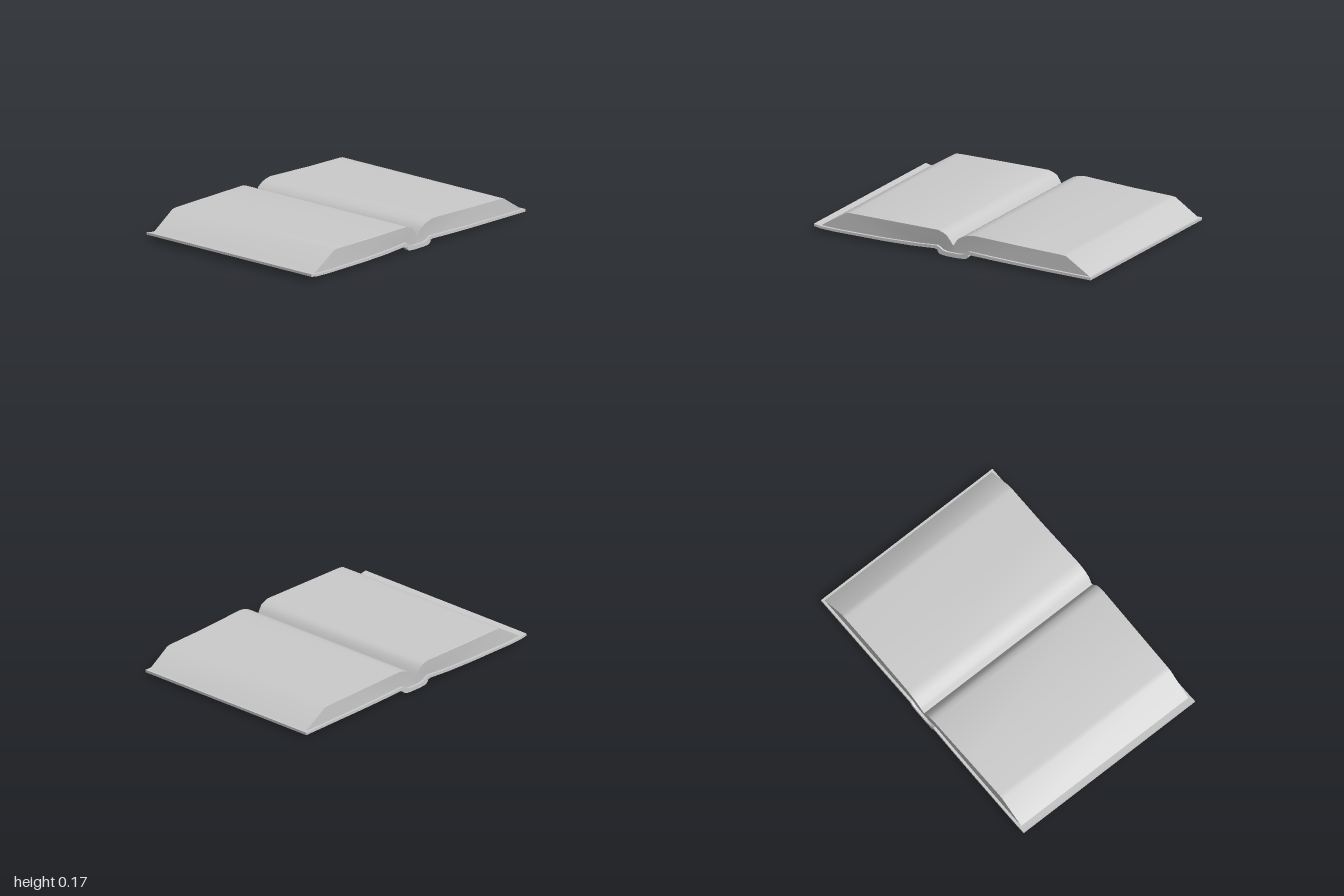
import * as THREE from 'three';
import { toCreasedNormals } from 'three/addons/utils/BufferGeometryUtils.js';

const material = new THREE.MeshStandardMaterial({ color: 0xcccccc, side: THREE.DoubleSide });

// Extrudes a closed [z, y] outline along x, centred on x
function sweep(name, outline, width, x = 0, reshape) {
  const shape = new THREE.Shape(outline.map(([z, y]) => new THREE.Vector2(z, y)));
  const geo = new THREE.ExtrudeGeometry(shape, { depth: width, bevelEnabled: false });
  geo.translate(0, 0, -width / 2).rotateY(-Math.PI / 2);
  if (reshape) {
    const p = geo.attributes.position;
    for (let i = 0; i < p.count; i++) p.setX(i, reshape(p.getX(i), p.getY(i), p.getZ(i)));
  }
  const mesh = new THREE.Mesh(toCreasedNormals(geo, 0.5), material);
  mesh.name = name;
  mesh.position.x = x;
  return mesh;
}

// Cover section: inside and outside faces, from the front edge to the back edge
const coverInside = [[1, 0.053], [0.95, 0.045], [0.85, 0.041], [0.5, 0.042], [0.25, 0.05], [0.11, 0.06],
  [0.095, 0.052], [0.07, 0.035], [0.03, 0.028], [-0.05, 0.028], [-0.085, 0.035], [-0.105, 0.05],
  [-0.12, 0.056], [-0.25, 0.05], [-0.5, 0.042], [-0.85, 0.036], [-1, 0.034]];
const coverOutside = [[1, 0.037], [0.95, 0.029], [0.85, 0.025], [0.5, 0.024], [0.3, 0.028], [0.13, 0.038],
  [0.105, 0.033], [0.09, 0.016], [0.07, 0.011], [0.03, 0.008], [-0.05, 0.008], [-0.085, 0.011],
  [-0.1, 0.016], [-0.115, 0.031], [-0.13, 0.035], [-0.3, 0.029], [-0.5, 0.024], [-0.85, 0.019], [-1, 0.017]];

// Page surfaces, from the fore edge to the gutter
const frontTop = [[0.955, 0.046], [0.775, 0.157], [0.74, 0.161], [0.45, 0.163], [0.105, 0.161],
  [0.075, 0.152], [0.045, 0.138], [0.02, 0.105], [0, 0.072]];
const backTop = [[-0.985, 0.034], [-0.815, 0.141], [-0.78, 0.144], [-0.5, 0.151], [-0.15, 0.165],
  [-0.11, 0.158], [-0.075, 0.146], [-0.035, 0.122], [-0.02, 0.1], [0, 0.072]];

// The leaves fan out slightly at the head and tail near the gutter
const fan = (x, y, z) => {
  const lift = THREE.MathUtils.clamp((y - 0.05) / 0.11, 0, 1);
  const near = Math.max(0, 1 - Math.abs(z) / 0.3);
  return x + Math.sign(x) * lift * (0.003 + 0.012 * near);
};

export function createModel() {
  const book = new THREE.Group();
  book.name = 'openBook';

  // Cover boards and spine in one bent sheet
  book.add(sweep('cover', [...coverInside, ...[...coverOutside].reverse()], 1.38));

  // Two page blocks that rest on the cover and meet at the gutter
  const under = (sign) => coverInside.filter(([z]) => z * sign > 0 && Math.abs(z) < 0.94);
  book.add(sweep('frontPages', [...frontTop, [0, 0.028], ...under(1).reverse()], 1.346, 0, fan));
  book.add(sweep('backPages', [...backTop, [0, 0.028], ...under(-1)], 1.346, 0, fan));

  // Raised bands across the outside of the spine
  const hug = coverOutside.filter(([z]) => Math.abs(z) < 0.12);
  const band = [...hug, ...hug.map(([z, y]) => [z * 1.03, Math.max(0, y - 0.008)]).reverse()];
  for (const x of [-0.674, -0.398, -0.153, 0.092, 0.337, 0.674]) {
    book.add(sweep('spineBand', band, 0.03, x));
  }
  return book;
}
